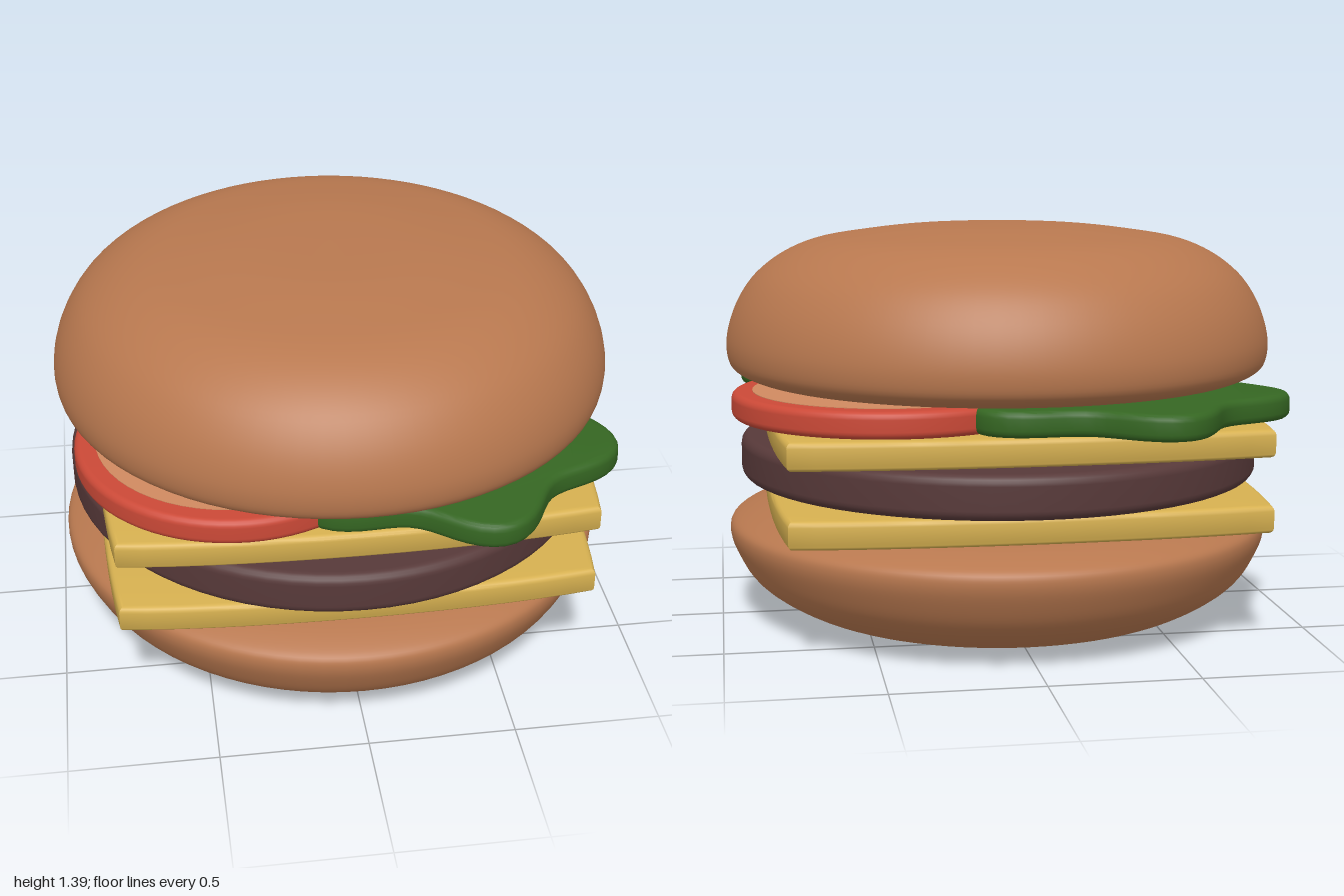
import * as THREE from 'three';
import { toCreasedNormals } from 'three/addons/utils/BufferGeometryUtils.js';

const mat = (name, color) => {
  const m = new THREE.MeshStandardMaterial({ color });
  m.name = name;
  return m;
};

export function createModel() {
  const bun = mat('toasted bun', 0xb8784f);
  const meat = mat('grilled meat', 0x573939);
  const cheese = mat('cheese', 0xd6b050);
  const tomato = mat('tomato', 0xcb4937);
  const flesh = mat('tomato flesh', 0xd08a60);
  const lettuce = mat('lettuce', 0x356622);

  const group = new THREE.Group();
  group.name = 'burger';
  const add = (name, geometry, material, x = 0, y = 0, z = 0) => {
    const mesh = new THREE.Mesh(geometry, material);
    mesh.name = name;
    mesh.position.set(x, y, z);
    group.add(mesh);
    return mesh;
  };

  // Smooth round body from a few profile points
  const turned = (pts) => {
    const curve = new THREE.CatmullRomCurve3(
      pts.map(([r, y]) => new THREE.Vector3(r, y, 0)), false, 'centripetal');
    const profile = curve.getPoints(60).map((p) => new THREE.Vector2(Math.max(p.x, 0), p.y));
    return new THREE.LatheGeometry(profile, 80);
  };

  // Flat disc with a rounded rim, base at y = 0
  const disc = (radius, height, round) => {
    const pts = [new THREE.Vector2(0, 0)];
    for (const [cy, start] of [[round, -Math.PI / 2], [height - round, 0]]) {
      for (let i = 0; i <= 5; i++) {
        const a = start + (i / 5) * Math.PI / 2;
        pts.push(new THREE.Vector2(radius - round + round * Math.cos(a), cy + round * Math.sin(a)));
      }
    }
    pts.push(new THREE.Vector2(0, height));
    return new THREE.LatheGeometry(pts, 72);
  };

  // Slab cut from an outline in x and z, base at y = 0
  const slab = (shape, height, bevel) => {
    const g = new THREE.ExtrudeGeometry(shape, {
      depth: height - 2 * bevel, bevelThickness: bevel, bevelSize: bevel,
      bevelOffset: -bevel, bevelSegments: 4, curveSegments: 14,
    });
    g.rotateX(Math.PI / 2);
    g.translate(0, height - bevel, 0);
    return toCreasedNormals(g, 0.6);
  };

  // Buns
  add('bottomBun', turned([[0, 0], [0.3, 0.002], [0.55, 0.007], [0.68, 0.025], [0.8, 0.08],
    [0.89, 0.15], [0.94, 0.23], [0.965, 0.3], [0.96, 0.34], [0.92, 0.367], [0.8, 0.402],
    [0.6, 0.405], [0, 0.405]]), bun, 0, 0, 0.015);
  add('topBun', turned([[0, 0.85], [0.6, 0.85], [0.82, 0.852], [0.9, 0.868], [0.95, 0.9],
    [0.965, 0.96], [0.955, 1.04], [0.92, 1.13], [0.86, 1.215], [0.77, 1.285], [0.66, 1.333],
    [0.5, 1.362], [0.3, 1.384], [0, 1.39]]), bun, 0, 0, 0.015);

  // Meat patty
  add('patty', disc(0.925, 0.15, 0.035), meat, -0.005, 0.503, 0.02);

  // Cheese slices: squares with gently bulging sides
  const c = 0.793, b = 0.853, h = 0.4;
  const square = new THREE.Shape();
  square.moveTo(c, -c);
  square.bezierCurveTo(b, -h, b, h, c, c);
  square.bezierCurveTo(h, b, -h, b, -c, c);
  square.bezierCurveTo(-b, h, -b, -h, -c, -c);
  square.bezierCurveTo(-h, -b, h, -b, c, -c);
  const sliceGeo = slab(square, 0.095, 0.02);
  add('lowerCheese', sliceGeo, cheese, -0.003, 0.407, 0.017);
  add('upperCheese', sliceGeo, cheese, -0.003, 0.66, 0.017);

  // Tomato slices, each with a paler centre
  const tomatoGeo = disc(0.54, 0.09, 0.025);
  const fleshGeo = new THREE.CylinderGeometry(0.47, 0.47, 0.004, 56);
  for (const [side, x, z] of [['front', -0.37, 0.33], ['back', 0.413, -0.268]]) {
    add(side + 'Tomato', tomatoGeo, tomato, x, 0.758, z);
    add(side + 'TomatoCentre', fleshGeo, flesh, x, 0.848, z);
  }

  // Lettuce leaves with six wavy lobes
  const outline = [];
  for (let i = 0; i < 96; i++) {
    const a = (i / 96) * Math.PI * 2;
    const r = 0.567 + 0.063 * Math.cos(6 * (a - 0.31));
    outline.push(new THREE.Vector2(r * Math.cos(a), r * Math.sin(a)));
  }
  const leafGeo = slab(new THREE.Shape(outline), 0.088, 0.025);
  add('frontLettuce', leafGeo, lettuce, 0.305, 0.76, 0.385);
  add('backLettuce', leafGeo, lettuce, -0.305, 0.76, -0.385).rotation.y = Math.PI;

  return group;
}
